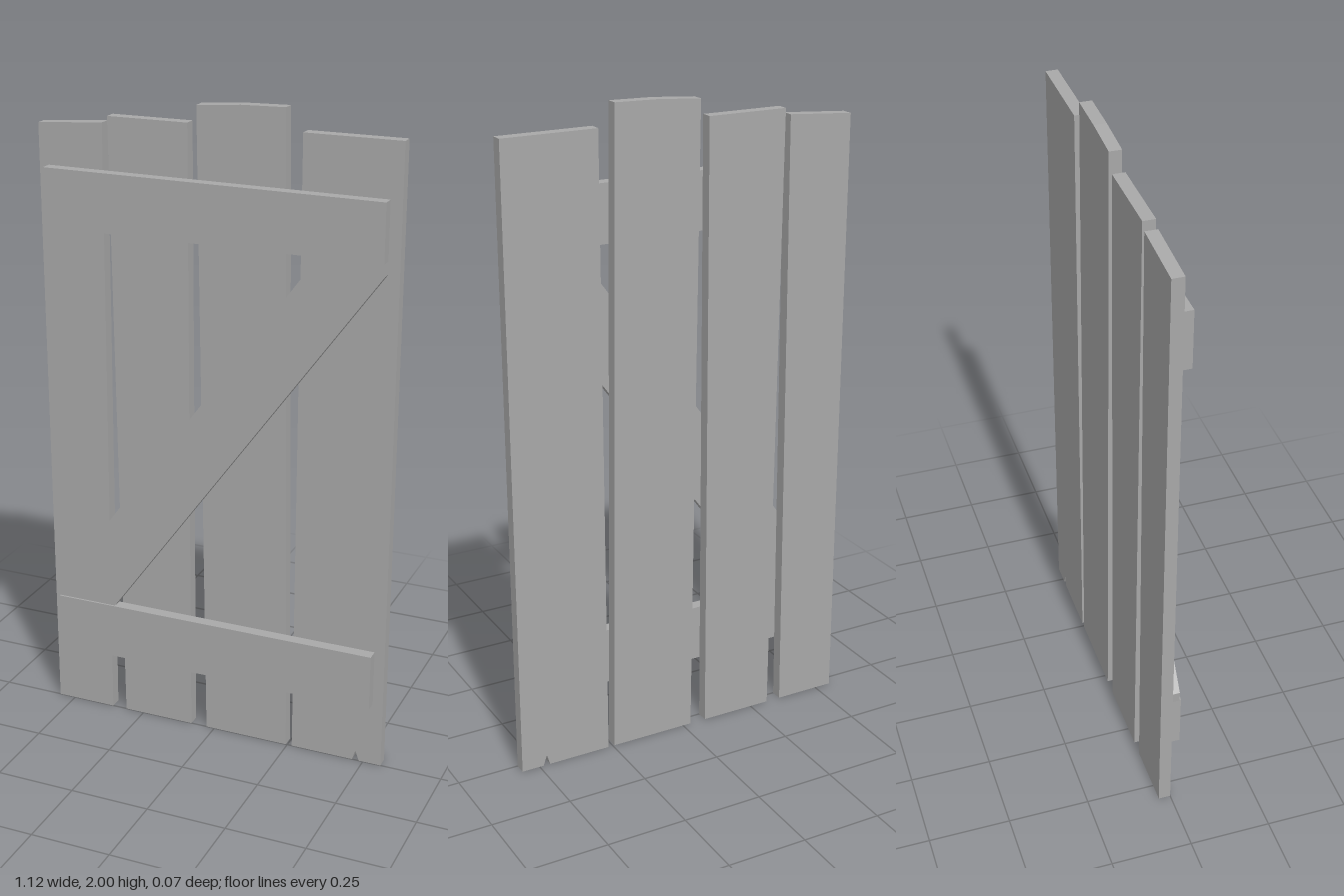
import * as THREE from 'three';

export function createModel() {
  const group = new THREE.Group();
  const wood = new THREE.MeshStandardMaterial({ color: 0xa8a8a8 });
  wood.name = 'grey wood';

  // A flat board: outline in x/y, extruded from z = back to z = front
  function board(name, outline, back, front) {
    const shape = new THREE.Shape(outline.map(([x, y]) => new THREE.Vector2(x, y)));
    const geometry = new THREE.ExtrudeGeometry(shape, { depth: front - back, bevelEnabled: false });
    geometry.translate(0, 0, back);
    const mesh = new THREE.Mesh(geometry, wood);
    mesh.name = name;
    group.add(mesh);
  }

  // Four uneven upright planks, listed from the model's right to its left
  const planks = [
    [[-0.555, 0], [-0.36, 0], [-0.352, 1.915], [-0.56, 1.9]],
    [[-0.312, 0], [-0.08, 0], [-0.083, 1.935], [-0.335, 1.935]],
    [[-0.027, 0], [0.245, 0], [0.214, 2], [0.08, 1.997], [-0.055, 1.987]],
    // the last plank has a small split in its lower end
    [[0.265, 0], [0.465, 0], [0.475, 0.033], [0.487, 0], [0.557, 0], [0.557, 1.935], [0.265, 1.935]],
  ];
  planks.forEach((outline, i) => board(`plank${i + 1}`, outline, -0.037, 0));

  // Crossbars on the front
  board('upperCrossbar', [[-0.53, 1.598], [0.522, 1.598], [0.522, 1.772], [-0.53, 1.777]], 0, 0.037);
  board('lowerCrossbar', [[-0.523, 0.208], [0.525, 0.208], [0.525, 0.386], [-0.525, 0.386]], 0, 0.037);

  // Diagonal brace, slightly thinner, with ends cut to meet the crossbars
  board('diagonalBrace', [
    [-0.528, 0.386], [-0.33, 0.386], [0.524, 1.562],
    [0.522, 1.598], [0.328, 1.598], [-0.53, 0.42],
  ], 0, 0.031);

  return group;
}
